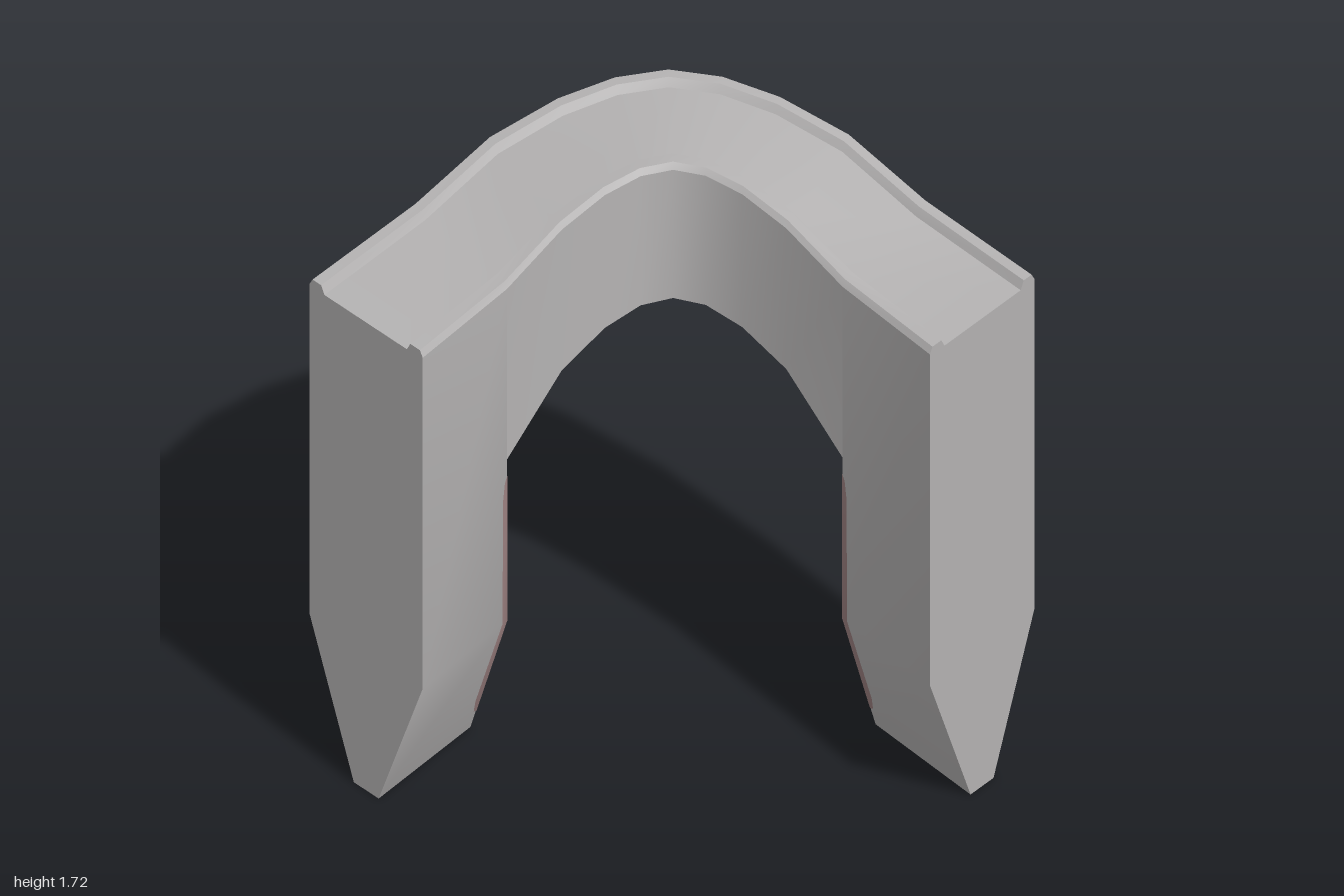
import * as THREE from 'three';
import { toCreasedNormals } from 'three/addons/utils/BufferGeometryUtils.js';

// Half of the plan, from the leg end to the crown: [outer x, outer z, inner x, inner z, deck y, underside y]
const HALF = [
  [1.0, 0.21, 0.70, 0.595, 1.533, 0.98],
  [0.71, -0.175, 0.463, 0.245, 1.533, 0.98],
  [0.50, -0.38, 0.31, 0.08, 1.62, 1.165],
  [0.31, -0.51, 0.19, -0.03, 1.662, 1.233],
  [0.15, -0.58, 0.09, -0.09, 1.685, 1.268],
  [0, -0.605, 0, -0.108, 1.694, 1.28],
];
const SHIFT = 0.007; // the inner curve sits slightly off centre
const STATIONS = [
  ...HALF,
  ...HALF.slice(0, -1).reverse().map(([a, b, c, d, e, f]) => [-a, b, -c, d, e, f]),
].map(([a, b, c, d, e, f]) => [a, b, c + SHIFT, d, e, f]);
const LAST = STATIONS.length - 1;

const KNEE = 0.455;  // height where the legs start to taper
const FOOT = 0.11;   // half width of the foot as a share of the full width

// Curbs and deck across the width: [share from outer to inner edge, height above the deck]
const TOP = [[0, 0.006], [0.025, 0.025], [0.1, 0.025], [0.13, 0],
  [0.86, 0], [0.89, 0.025], [0.975, 0.025], [1, 0.006]];

// Point at a station; w runs from the outer (0) to the inner (1) edge
function at(i, w, y) {
  const [ox, oz, ix, iz] = STATIONS[i];
  return new THREE.Vector3(ox + (ix - ox) * w, y, oz + (iz - oz) * w);
}
const topLine = (i) => TOP.map(([w, h]) => [w, STATIONS[i][4] + h]);
const legLine = (i) => [[0.5 - FOOT, 0], [0, KNEE], ...topLine(i), [1, KNEE], [0.5 + FOOT, 0]];
const archLine = (i) => [[0, STATIONS[i][5]], ...topLine(i), [1, STATIONS[i][5]]];

function quad(out, a, b, c, d) {
  out.push(a, b, c, a, c, d);
}

// Skin between two neighbouring stations
function skin(out, i, lineA, lineB) {
  for (let j = 0; j < lineA.length - 1; j++) {
    quad(out, at(i, ...lineA[j]), at(i + 1, ...lineB[j]),
      at(i + 1, ...lineB[j + 1]), at(i, ...lineA[j + 1]));
  }
}

// Flat cap across a station
function cap(out, i, line, flip) {
  const pts = line.map(([w, y]) => new THREE.Vector2(w, y));
  if (THREE.ShapeUtils.isClockWise(pts)) pts.reverse();
  for (const tri of THREE.ShapeUtils.triangulateShape(pts, [])) {
    const p = tri.map((k) => at(i, pts[k].x, pts[k].y));
    if (flip) p.reverse();
    out.push(...p);
  }
}

function makeMesh(name, points, material) {
  const geometry = new THREE.BufferGeometry().setFromPoints(points);
  const mesh = new THREE.Mesh(toCreasedNormals(geometry, 0.5), material);
  mesh.name = name;
  return mesh;
}

export function createModel() {
  const stone = new THREE.MeshStandardMaterial({ color: 0xb5b3b3 });
  stone.name = 'grey stone';
  const rose = new THREE.MeshStandardMaterial({ color: 0x9e8282, side: THREE.DoubleSide });
  rose.name = 'dull rose';
  const group = new THREE.Group();
  group.name = 'curvedArch';

  // Walls, deck and curbs, with both legs and their end faces
  const body = [];
  for (let i = 0; i < LAST; i++) {
    const line = i === 0 || i === LAST - 1 ? legLine : archLine;
    skin(body, i, line(i), line(i + 1));
  }
  for (const i of [0, LAST - 1]) {
    quad(body, at(i, 0.5 + FOOT, 0), at(i + 1, 0.5 + FOOT, 0),
      at(i + 1, 0.5 - FOOT, 0), at(i, 0.5 - FOOT, 0));
  }
  cap(body, 0, legLine(0), true);
  cap(body, LAST, legLine(LAST), false);
  group.add(makeMesh('archBody', body, stone));

  // Underside of the arch
  const under = [];
  for (let i = 1; i < LAST - 1; i++) {
    const y0 = STATIONS[i][5], y1 = STATIONS[i + 1][5];
    quad(under, at(i, 1, y0), at(i + 1, 1, y1), at(i + 1, 0, y1), at(i, 0, y0));
  }
  group.add(makeMesh('archUnderside', under, rose));

  // Inner faces of the legs
  const spring = STATIONS[1][5];
  const face = [[0.5 - FOOT, 0], [0, KNEE], [0, spring], [1, spring], [1, KNEE], [0.5 + FOOT, 0]];
  for (const [i, end, name] of [[1, 0, 'left'], [LAST - 1, LAST, 'right']]) {
    const panel = [];
    cap(panel, i, face, i !== 1);
    group.add(makeMesh(name + 'LegInnerFace', panel, rose));

    // Thin rounded stain wrapping onto both sides of the leg: [height, share of the leg length]
    const strip = [];
    const rows = [[0.07, 0], [0.08, 0.04], [0.13, 0.065], [KNEE, 0.06],
      [0.86, 0.05], [0.91, 0.03], [0.93, 0]];
    for (const side of [0, 1]) {
      const edge = ([y, t]) => {
        const w = (0.5 - FOOT) * Math.max(0, 1 - y / KNEE) - 0.005;
        const s = side ? 1 - w : w;
        return [at(i, s, y), at(i, s, y).lerp(at(end, s, y), t)];
      };
      for (let k = 0; k < rows.length - 1; k++) {
        const [a, b] = edge(rows[k]), [d, c] = edge(rows[k + 1]);
        if ((side === 1) === (i === 1)) quad(strip, a, b, c, d);
        else quad(strip, d, c, b, a);
      }
    }
    group.add(makeMesh(name + 'LegEdgeStain', strip, rose));
  }
  return group;
}
